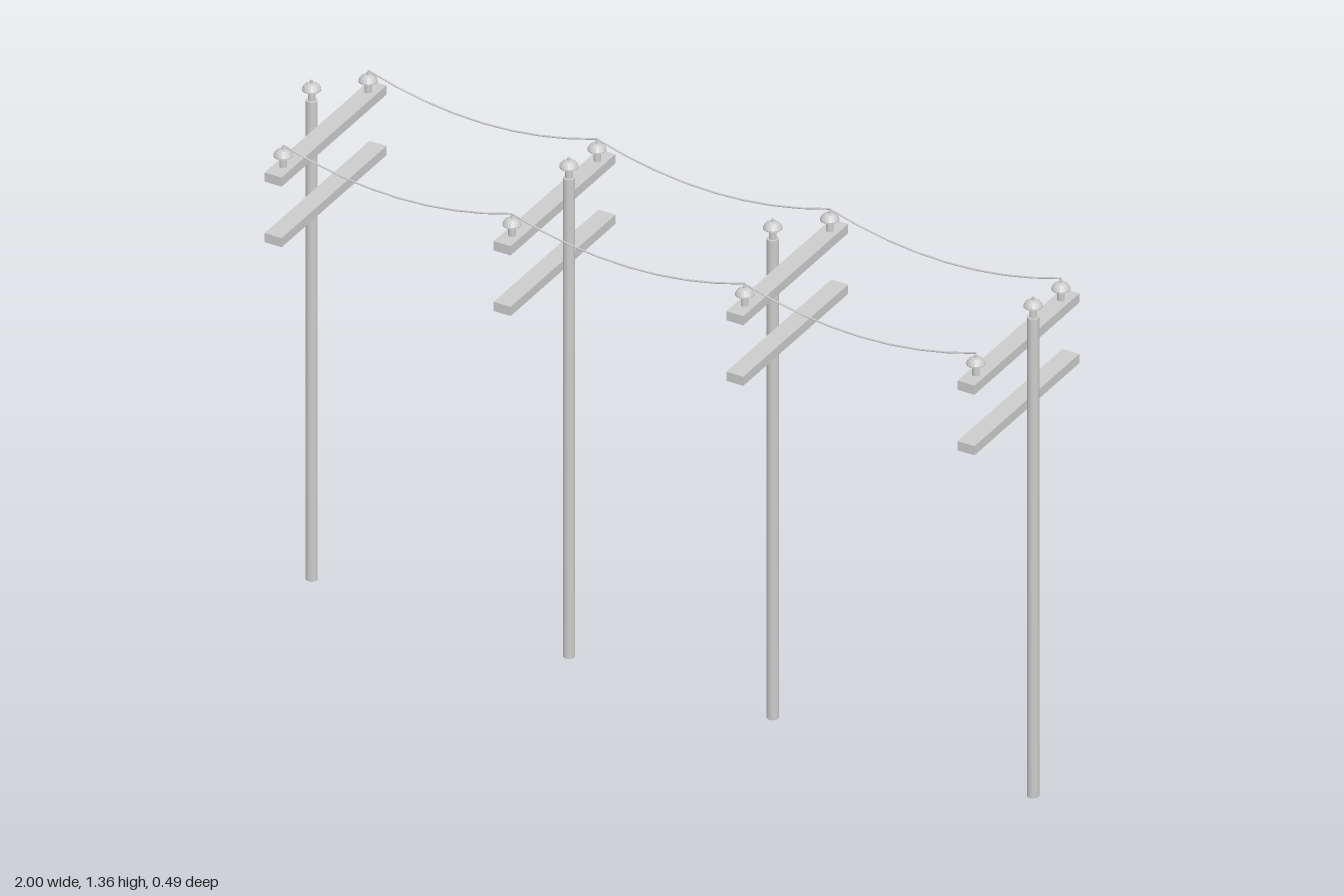
import * as THREE from 'three';

const material = new THREE.MeshStandardMaterial({ color: 0xcccccc, side: THREE.DoubleSide });

function part(name, geometry, x, y, z) {
  const mesh = new THREE.Mesh(geometry, material);
  mesh.name = name;
  mesh.position.set(x, y, z);
  return mesh;
}

// Insulator: neck, domed skirt and small tip
const insulatorProfile = [
  [0, 0], [0.009, 0], [0.009, 0.03], [0.023, 0.03], [0.0225, 0.034], [0.018, 0.041],
  [0.011, 0.046], [0.004, 0.048], [0.003, 0.056], [0, 0.056],
].map(([r, y]) => new THREE.Vector2(r, y));

// Sagging wire between two x positions
function wire(x0, x1, z) {
  const path = new THREE.CurvePath();
  const n = 8;
  const at = (t) => new THREE.Vector3(
    THREE.MathUtils.lerp(x0, x1, t), 1.245 + 0.05 * (2 * t - 1) ** 2, z);
  for (let i = 0; i < n; i++) path.add(new THREE.LineCurve3(at(i / n), at((i + 1) / n)));
  return part('wire', new THREE.TubeGeometry(path, 32, 0.0022, 6), 0, 0, 0);
}

export function createModel() {
  const model = new THREE.Group();
  model.name = 'powerLine';
  const poleGeometry = new THREE.CylinderGeometry(0.0145, 0.0145, 1.305, 16);
  const armGeometry = new THREE.BoxGeometry(0.046, 0.025, 0.486);
  const insulatorGeometry = new THREE.LatheGeometry(insulatorProfile, 16);
  insulatorGeometry.deleteAttribute('normal');
  const facetedInsulator = insulatorGeometry.toNonIndexed();
  facetedInsulator.computeVertexNormals();

  // Pole x and the x of the crossarms fixed to its side
  const posts = [[-0.978, -0.94], [-0.281, -0.32], [0.271, 0.31], [0.976, 0.936]];
  const wireZ = 0.197;

  for (const [poleX, armX] of posts) {
    const post = new THREE.Group();
    post.name = 'utilityPole';
    post.add(part('pole', poleGeometry, poleX, 0.6525, 0));
    post.add(part('topInsulator', facetedInsulator, poleX, 1.303, 0));
    post.add(part('upperCrossarm', armGeometry, armX, 1.2245, 0));
    post.add(part('lowerCrossarm', armGeometry, armX, 1.0595, 0));
    for (const z of [-wireZ, wireZ]) {
      post.add(part('armInsulator', facetedInsulator, armX, 1.236, z));
    }
    model.add(post);
  }

  for (let i = 0; i < posts.length - 1; i++) {
    for (const z of [-wireZ, wireZ]) model.add(wire(posts[i][1], posts[i + 1][1], z));
  }
  return model;
}
